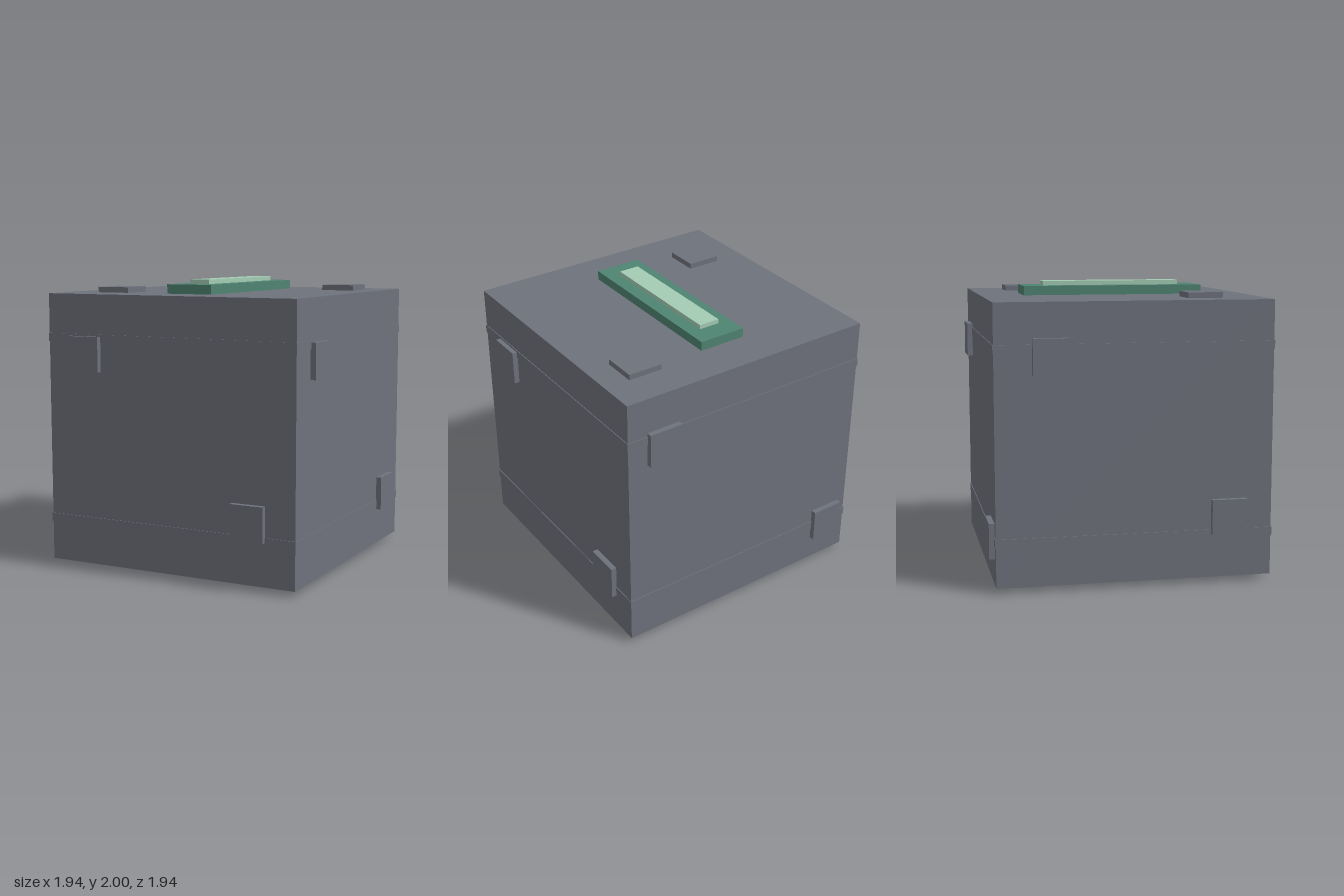
import * as THREE from 'three';

export function createModel() {
  const root = new THREE.Group();
  root.name = 'crate';

  const mat = (name, color) => {
    const m = new THREE.MeshStandardMaterial({ color });
    m.name = name;
    return m;
  };
  const grey = mat('slate grey', 0x6e727c);
  const green = mat('dark green', 0x4f8472);
  const mint = mat('pale mint', 0xa3ccb4);

  const add = (name, material, size, pos) => {
    const mesh = new THREE.Mesh(new THREE.BoxGeometry(...size), material);
    mesh.name = name;
    mesh.position.set(...pos);
    root.add(mesh);
  };

  const H = 0.934;    // half width of the cube
  const MID = 0.972;  // height of the cube's centre
  const P = 0.24;     // plate side
  const T = 0.038;    // plate thickness

  // Cube body
  add('body', grey, [2 * H, 2 * H, 2 * H], [0, MID, 0]);

  // Slightly proud bands around the sides
  for (const s of [-1, 1]) {
    add(s > 0 ? 'upperBand' : 'lowerBand', grey,
      [2 * H + 0.01, 0.057, 2 * H + 0.01], [0, MID + s * 0.634, 0]);
  }

  // Two square plates on each face
  const out = H + T / 2;
  for (const [x, y] of [[-0.64, 1.5], [0.6, 0.455]]) add('frontPlate', grey, [P, P, T], [x, y, out]);
  for (const [x, y] of [[0.67, 1.54], [-0.75, 0.34]]) add('backPlate', grey, [P, P, T], [x, y, -out]);
  for (const [z, y] of [[0.6, 1.5], [-0.635, 0.415]]) add('leftPlate', grey, [T, P, P], [out, y, z]);
  for (const [z, y] of [[-0.565, 1.555], [0.635, 0.455]]) add('rightPlate', grey, [T, P, P], [-out, y, z]);
  for (const [x, z] of [[-0.6, 0.52], [0.635, -0.565]]) add('topPlate', grey, [P, T, P], [x, MID + out, z]);
  for (const [x, z] of [[0.6, 0.58], [-0.64, -0.52]]) add('bottomPlate', grey, [P, T, P], [x, MID - out, z]);

  // Stepped panel on the lid
  add('panelBase', green, [0.336, 0.064, 1.27], [0, 1.938, 0]);
  add('panelStrip', mint, [0.15, 0.03, 0.975], [0, 1.985, 0]);

  return root;
}
